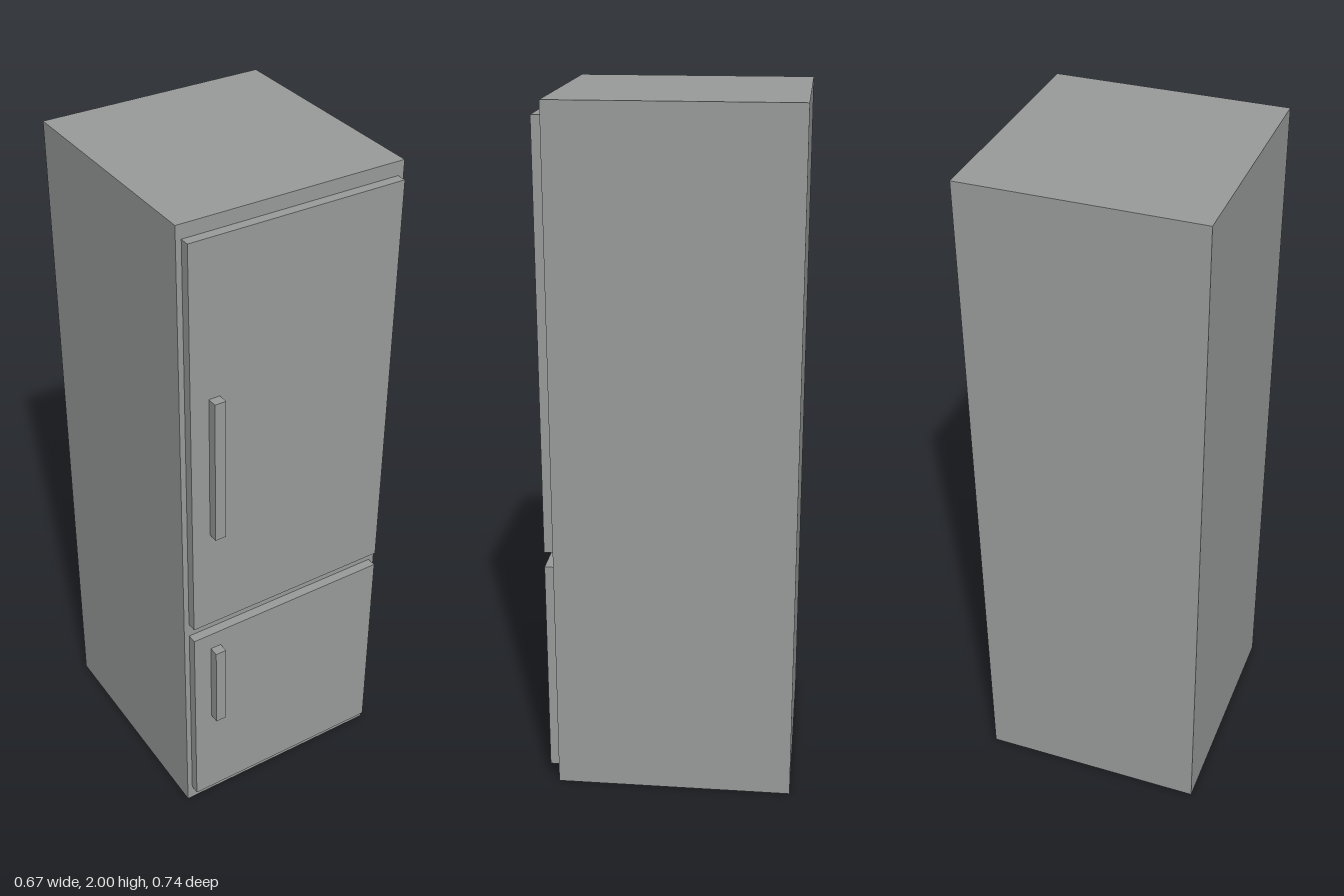
import * as THREE from 'three';

const greyEnamel = new THREE.MeshStandardMaterial({ color: 0x9a9c9c });
greyEnamel.name = 'greyEnamel';

// Box given by its extents along each axis
function block(name, [x0, x1], [y0, y1], [z0, z1]) {
  const mesh = new THREE.Mesh(new THREE.BoxGeometry(x1 - x0, y1 - y0, z1 - z0), greyEnamel);
  mesh.position.set((x0 + x1) / 2, (y0 + y1) / 2, (z0 + z1) / 2);
  mesh.name = name;
  return mesh;
}

export function createModel() {
  const fridge = new THREE.Group();
  fridge.name = 'fridge';

  const bodyFront = 0.315, doorFront = 0.343, handleFront = 0.372;

  // Cabinet
  fridge.add(block('cabinet', [-0.333, 0.333], [0, 2], [-0.372, bodyFront]));

  // Doors, each with a bar handle on the model's right
  const doors = [
    { name: 'fridge', door: [0.735, 1.96], handle: [1.06, 1.503] },
    { name: 'freezer', door: [0.047, 0.69], handle: [0.36, 0.635] },
  ];
  for (const { name, door, handle } of doors) {
    fridge.add(
      block(`${name}Door`, [-0.317, 0.316], door, [bodyFront, doorFront]),
      block(`${name}Handle`, [-0.262, -0.229], handle, [doorFront, handleFront]),
    );
  }
  return fridge;
}
